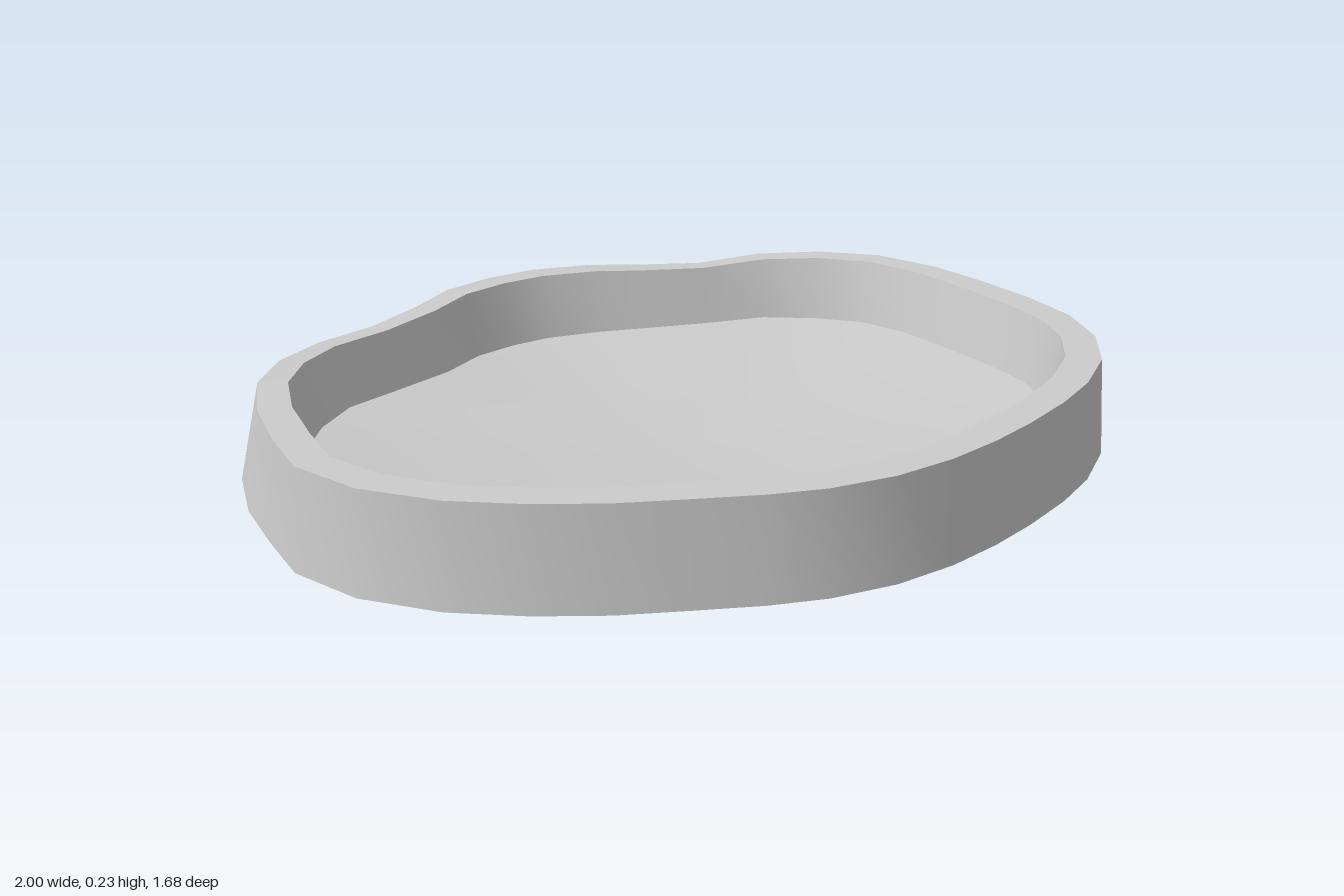
import * as THREE from 'three';

// Foot outline as x, z pairs, clockwise seen from above, starting at the back
const OUTLINE = [
  -0.04, -0.84, 0.10, -0.84, 0.26, -0.80, 0.38, -0.75, 0.53, -0.69, 0.70, -0.645,
  0.85, -0.54, 0.96, -0.40, 1.0, -0.22, 1.0, -0.05, 0.995, 0.12, 0.975, 0.285,
  0.91, 0.435, 0.80, 0.565, 0.66, 0.66, 0.53, 0.72, 0.38, 0.772, 0.25, 0.807,
  0.11, 0.832, -0.04, 0.837, -0.19, 0.812, -0.31, 0.768, -0.44, 0.705, -0.58, 0.635,
  -0.71, 0.55, -0.84, 0.44, -0.95, 0.29, -1.0, 0.115, -0.98, -0.05, -0.95, -0.23,
  -0.89, -0.405, -0.78, -0.54, -0.63, -0.64, -0.46, -0.69, -0.32, -0.74, -0.19, -0.81,
];
const RIM_Y = 0.227, FLOOR_EDGE_Y = 0.07, FLOOR_CENTRE_Y = 0.01, FLOOR_RINGS = 8;

const material = new THREE.MeshStandardMaterial({ color: 0xcccccc, side: THREE.DoubleSide });

// 0 at the front and middle, 1 at the back
const backness = (z) => THREE.MathUtils.smoothstep(-z, -0.1, 0.6);

// 1 in the two hollows beside the back bulge, 0 elsewhere
const hollow = (p) =>
  Math.exp(-(((Math.abs(p.x) - 0.52) / 0.2) ** 2)) * THREE.MathUtils.smoothstep(-p.z, 0.3, 0.55);

// Moves a loop inward along its normals and sets its height
function inset(loop, distance, height) {
  const n = loop.length;
  return loop.map((p, i) => {
    const t = loop[(i + 1) % n].clone().sub(loop[(i + n - 1) % n]).setY(0).normalize();
    const d = distance(p);
    return new THREE.Vector3(p.x - t.z * d, height(p), p.z + t.x * d);
  });
}

// Smooth closed surface through a list of loops
function skin(name, loops) {
  const n = loops[0].length, index = [];
  for (let k = 0; k < loops.length - 1; k++) {
    for (let i = 0; i < n; i++) {
      const j = (i + 1) % n, a = k * n, b = a + n;
      index.push(a + i, b + i, b + j, a + i, b + j, a + j);
    }
  }
  const geometry = new THREE.BufferGeometry().setFromPoints(loops.flat());
  geometry.setIndex(index);
  geometry.computeVertexNormals();
  const mesh = new THREE.Mesh(geometry, material);
  mesh.name = name;
  return mesh;
}

export function createModel() {
  const foot = [];
  for (let i = 0; i < OUTLINE.length; i += 2) {
    foot.push(new THREE.Vector3(OUTLINE[i], 0, OUTLINE[i + 1]));
  }

  // The rim dips and narrows slightly at the hollows
  const rimOuter = inset(foot, (p) => 0.014 + 0.044 * backness(p.z),
    (p) => RIM_Y - 0.016 * hollow(p));
  const rimInner = inset(rimOuter, (p) => 0.081 - 0.018 * backness(p.z) - 0.015 * hollow(p),
    (p) => p.y);
  const floorEdge = inset(rimInner, () => 0.033, () => FLOOR_EDGE_Y);

  // Floor sinks in a shallow bowl toward the middle
  const floorLoops = [];
  for (let k = 0; k <= FLOOR_RINGS; k++) {
    const r = Math.max(1 - k / FLOOR_RINGS, 0.001);
    const y = THREE.MathUtils.lerp(FLOOR_CENTRE_Y, FLOOR_EDGE_Y, r * r);
    floorLoops.push(floorEdge.map((p) => new THREE.Vector3(p.x * r, y, p.z * r)));
  }

  const model = new THREE.Group();
  model.name = 'tray';
  model.add(
    skin('outerWall', [foot, rimOuter]),
    skin('rim', [rimOuter, rimInner]),
    skin('innerWall', [rimInner, floorEdge]),
    skin('floor', floorLoops),
  );
  return model;
}
